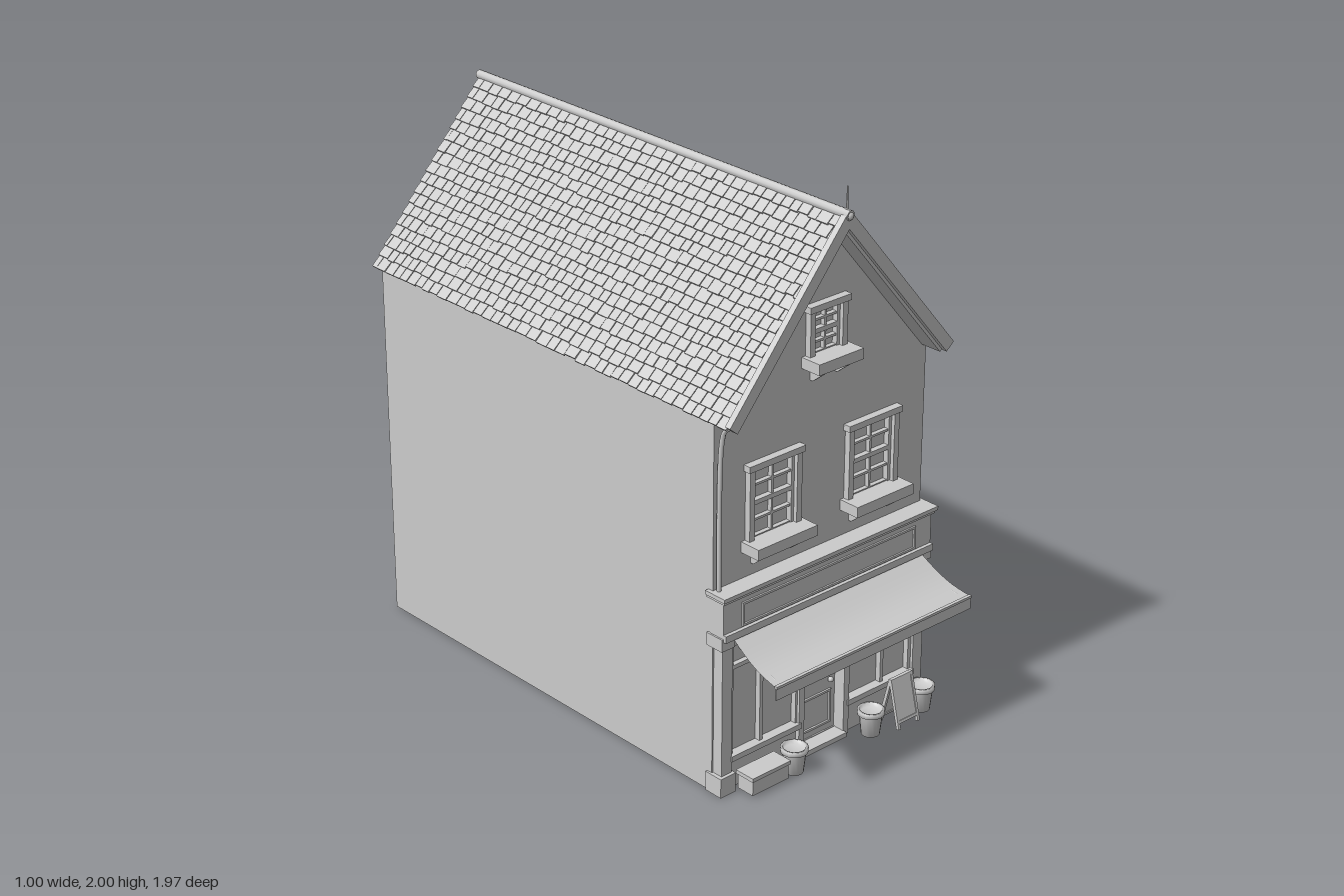
import * as THREE from 'three';
import { mergeGeometries } from 'three/addons/utils/BufferGeometryUtils.js';

const mat = new THREE.MeshStandardMaterial({ color: 0xcccccc, side: THREE.DoubleSide });
const SLOPE = 1.18, ANGLE = Math.atan(SLOPE);
const FRONT = 0.72, BACK = -0.955, ROOF_BACK = -0.975, ROOF_FRONT = 0.805;

let seed = 7;
const rnd = () => (seed = (seed * 16807) % 2147483647) / 2147483647;

function add(parent, name, geo, x = 0, y = 0, z = 0) {
  const m = new THREE.Mesh(geo, mat);
  m.name = name;
  m.position.set(x, y, z);
  parent.add(m);
  return m;
}

// Box given by its extents
function box(parent, name, x0, x1, y0, y1, z0, z1) {
  return add(parent, name, new THREE.BoxGeometry(x1 - x0, y1 - y0, z1 - z0), (x0 + x1) / 2, (y0 + y1) / 2, (z0 + z1) / 2);
}

function group(parent, name, x = 0, y = 0, z = 0) {
  const g = new THREE.Group();
  g.name = name;
  g.position.set(x, y, z);
  parent.add(g);
  return g;
}

const poly = (pts) => new THREE.Shape(pts.map(([x, y]) => new THREE.Vector2(x, y)));
const rectHole = (x0, x1, y0, y1) => new THREE.Path([[x0, y0], [x1, y0], [x1, y1], [x0, y1]].map(([x, y]) => new THREE.Vector2(x, y)));

function extrude(parent, name, shape, z0, z1) {
  return add(parent, name, new THREE.ExtrudeGeometry(shape, { depth: z1 - z0, bevelEnabled: false }), 0, 0, z0);
}

// Inverted V following the roof pitch, ends cut square to the slope
function chevron(parent, name, top, half, thick, z0, z1) {
  const ex = half - thick * Math.sin(ANGLE), ey = top - SLOPE * half - thick * Math.cos(ANGLE);
  const apex = top - thick / Math.cos(ANGLE);
  extrude(parent, name, poly([[0, top], [-half, top - SLOPE * half], [-ex, ey], [0, apex], [ex, ey], [half, top - SLOPE * half]]), z0, z1);
}

// Row of overlapping slates on each side, with uneven widths
function slates(parent) {
  const length = 0.485 / Math.cos(ANGLE), rows = 18, step = length / rows;
  for (const s of [-1, 1]) {
    const parts = [];
    for (let r = 0; r < rows; r++) {
      let z = ROOF_BACK - (r % 2) * 0.02;
      while (z < ROOF_FRONT - 0.012) {
        const w = 0.035 + rnd() * 0.02;
        const a = Math.max(z, ROOF_BACK), b = Math.min(z + w, ROOF_FRONT);
        z += w;
        if (b - a < 0.008) continue;
        const g = new THREE.BoxGeometry(step * 1.2, 0.008, b - a - 0.003);
        g.rotateZ(s * (0.13 + rnd() * 0.05));
        g.translate(s * ((r + 0.45) * step + (rnd() - 0.5) * 0.006), 0.006 + rnd() * 0.002, (a + b) / 2);
        g.rotateZ(-s * ANGLE);
        parts.push(g);
      }
    }
    add(parent, s > 0 ? 'leftSlates' : 'rightSlates', mergeGeometries(parts), 0, 1.898, 0);
  }
}

// Framed sash window with sill and brackets, origin at the middle of the opening
function sashWindow(parent, name, x, y, w, h, rows) {
  const g = group(parent, name, x, y, FRONT), a = w / 2, b = h / 2, c = 0.022;
  box(g, 'pane', -a, a, -b, b, -0.018, -0.012);
  for (const s of [-1, 1]) {
    box(g, 'casing', s * (a + c / 2) - c / 2, s * (a + c / 2) + c / 2, -b, b + c, -0.01, 0.022);
    box(g, 'sash', s * (a - 0.006) - 0.006, s * (a - 0.006) + 0.006, -b, b, -0.012, 0.008);
    const br = extrude(g, 'sillBracket', poly([[0, 0], [0.065, 0], [0.065, -0.012], [0.012, -0.055], [0, -0.055]]), -0.005, 0.005);
    br.rotation.y = -Math.PI / 2;
    br.position.set(s * a * 0.9 + 0.005, -b - 0.035, 0);
  }
  box(g, 'headCasing', -a - c - 0.008, a + c + 0.008, b, b + c, -0.01, 0.028);
  box(g, 'glazingBar', -0.004, 0.004, -b, b, -0.012, 0.004);
  for (let i = 0; i <= rows; i++) {
    const yy = -b + (h * i) / rows, t = i * 2 === rows ? 0.008 : 0.004;
    box(g, 'glazingBar', -a, a, yy - t, yy + t, -0.012, t === 0.008 ? 0.008 : 0.004);
  }
  box(g, 'sill', -a - c - 0.016, a + c + 0.016, -b - 0.038, -b, 0, 0.08);
}

function pot(parent, x, z) {
  const pts = [[0, 0], [0.032, 0], [0.04, 0.075], [0.047, 0.077], [0.047, 0.094], [0.038, 0.094], [0.036, 0.08], [0, 0.08]];
  add(parent, 'flowerPot', new THREE.LatheGeometry(pts.map(([a, b]) => new THREE.Vector2(a, b)), 16), x, 0, z);
}

export function createModel() {
  const house = new THREE.Group();
  house.name = 'shopHouse';

  // Walls: hollow shell, open underneath at the back
  const walls = group(house, 'walls');
  for (const s of [-1, 1]) box(walls, 'sideWall', s * 0.46 - 0.01, s * 0.46 + 0.01, 0, 1.325, BACK, FRONT);
  const gable = () => poly([[-0.47, 0], [0.47, 0], [0.47, 1.32], [0, 1.875], [-0.47, 1.32]]);
  extrude(walls, 'backWall', gable(), BACK, BACK + 0.02);
  const frontShape = gable();
  frontShape.holes.push(rectHole(-0.42, 0.42, 0.02, 0.56), rectHole(-0.06, 0.06, 1.43, 1.58));
  for (const s of [-1, 1]) frontShape.holes.push(rectHole(s * 0.22 - 0.092, s * 0.22 + 0.092, 0.87, 1.115));
  extrude(walls, 'frontWall', frontShape, FRONT - 0.02, FRONT);
  box(walls, 'partitionWall', -0.45, 0.45, 0, 1.3, -0.22, -0.2);

  // Plank floor under the shop
  const floor = group(house, 'floor');
  for (let i = 0; i < 18; i++) box(floor, 'plank', -0.45 + i * 0.05, -0.402 + i * 0.05, 0.002, 0.015, -0.2, FRONT - 0.02);
  box(floor, 'subfloor', -0.45, 0.45, 0.008, 0.02, -0.2, FRONT - 0.02);

  // Roof
  const roof = group(house, 'roof');
  chevron(roof, 'roofDeck', 1.9, 0.482, 0.014, ROOF_BACK, ROOF_FRONT);
  slates(roof);
  chevron(roof, 'bargeboard', 1.926, 0.495, 0.042, 0.795, 0.818);
  chevron(roof, 'innerBargeboard', 1.878, 0.468, 0.022, 0.72, 0.8);
  chevron(roof, 'rearVerge', 1.9, 0.482, 0.022, ROOF_BACK, ROOF_BACK + 0.02);
  const ridge = add(roof, 'ridgeCap', new THREE.CylinderGeometry(0.016, 0.016, 1.805, 10), 0, 1.908, -0.08);
  ridge.rotation.x = Math.PI / 2;
  add(roof, 'finial', new THREE.CylinderGeometry(0.002, 0.004, 0.09, 8), 0, 1.955, 0.805);
  add(roof, 'finialBall', new THREE.SphereGeometry(0.017, 12, 8), 0, 1.905, 0.812);

  // Upper windows
  for (const s of [-1, 1]) sashWindow(house, s > 0 ? 'leftWindow' : 'rightWindow', s * 0.22, 0.9925, 0.184, 0.245, 4);
  sashWindow(house, 'atticWindow', 0, 1.505, 0.12, 0.15, 4);

  // Drainpipe
  const path = new THREE.CatmullRomCurve3([[1.325, 0.785], [1.3, 0.755], [1.25, 0.742], [1.1, 0.735], [0.74, 0.735]].map(([y, z]) => new THREE.Vector3(-0.458, y, z)));
  add(house, 'drainpipe', new THREE.TubeGeometry(path, 24, 0.008, 8));

  // Shopfront
  const shop = group(house, 'shopfront');
  box(shop, 'fascia', -0.472, 0.472, 0.6, 0.715, 0.7, 0.772);
  box(shop, 'cornice', -0.478, 0.478, 0.712, 0.724, 0.7, 0.782);
  box(shop, 'corniceTop', -0.485, 0.485, 0.724, 0.738, 0.7, 0.79);
  box(shop, 'fasciaMoulding', -0.472, 0.472, 0.575, 0.6, 0.71, 0.785);
  for (const y of [0.605, 0.682]) box(shop, 'signFrame', -0.39, 0.39, y, y + 0.008, 0.77, 0.778);
  for (const s of [-1, 1]) {
    box(shop, 'signFrame', s * 0.39 - 0.004, s * 0.39 + 0.004, 0.605, 0.69, 0.77, 0.778);
    box(shop, 'pilaster', s * 0.442 - 0.022, s * 0.442 + 0.022, 0, 0.58, 0.7, 0.76);
    box(shop, 'pilasterBase', s * 0.445 - 0.033, s * 0.445 + 0.033, 0, 0.07, 0.7, 0.772);
    box(shop, 'pilasterCapital', s * 0.45 - 0.028, s * 0.45 + 0.028, 0.54, 0.585, 0.7, 0.772);
    // Display window
    const c = s * 0.265;
    box(shop, 'stallRiser', c - 0.155, c + 0.155, 0, 0.11, 0.705, 0.745);
    box(shop, 'displaySill', c - 0.158, c + 0.158, 0.11, 0.13, 0.705, 0.765);
    box(shop, 'displayGlass', c - 0.155, c + 0.155, 0.13, 0.54, 0.725, 0.73);
    for (const dx of [-0.148, 0.015, 0.148]) box(shop, 'mullion', c + s * dx - 0.007, c + s * dx + 0.007, 0.13, 0.54, 0.715, 0.75);
    box(shop, 'doorPost', s * 0.104 - 0.012, s * 0.104 + 0.012, 0, 0.54, 0.69, 0.76);
  }
  box(shop, 'transom', -0.42, 0.42, 0.44, 0.455, 0.715, 0.748);
  box(shop, 'lintel', -0.42, 0.42, 0.53, 0.58, 0.7, 0.755);

  // Door
  const door = group(shop, 'door');
  box(door, 'doorLeaf', -0.092, 0.092, 0.015, 0.44, 0.7, 0.715);
  box(door, 'doorLight', -0.092, 0.092, 0.44, 0.54, 0.705, 0.71);
  box(door, 'doorstep', -0.095, 0.095, 0, 0.018, 0.7, 0.775);
  for (const [y0, y1] of [[0.05, 0.17], [0.24, 0.41]]) {
    for (const s of [-1, 1]) box(door, 'panelStile', s * 0.066 - 0.004, s * 0.066 + 0.004, y0, y1, 0.715, 0.722);
    for (const y of [y0, y1]) box(door, 'panelRail', -0.07, 0.07, y - 0.004, y + 0.004, 0.715, 0.722);
  }
  add(door, 'doorKnob', new THREE.SphereGeometry(0.01, 12, 8), 0.06, 0.215, 0.728);

  // Awning: sagging canvas widening to the front, with a hanging valance
  const awning = group(house, 'awning');
  const canvas = new THREE.PlaneGeometry(1, 1, 1, 8), p = canvas.attributes.position;
  for (let i = 0; i < p.count; i++) {
    const t = 0.5 - p.getY(i);
    p.setXYZ(i, p.getX(i) * 2 * (0.43 + 0.016 * t), 0.572 - 0.08 * t - 0.016 * Math.sin(Math.PI * t), 0.775 + 0.21 * t);
  }
  canvas.computeVertexNormals();
  add(awning, 'canvas', canvas);
  box(awning, 'valance', -0.446, 0.446, 0.446, 0.492, 0.983, 0.987);
  box(awning, 'frontRail', -0.446, 0.446, 0.487, 0.496, 0.978, 0.99);
  for (const s of [-1, 1]) {
    const arm = new THREE.LineCurve3(new THREE.Vector3(s * 0.4, 0.53, 0.77), new THREE.Vector3(s * 0.42, 0.488, 0.98));
    add(awning, 'arm', new THREE.TubeGeometry(arm, 1, 0.004, 6));
  }

  // Pavement items
  const street = group(house, 'pavementItems');
  for (const x of [-0.185, 0.172, 0.415]) pot(street, x, 0.81);
  const planter = group(street, 'planter', -0.32, 0, 0.805);
  box(planter, 'trough', -0.08, 0.08, 0.008, 0.07, -0.035, 0.035);
  box(planter, 'rim', -0.085, 0.085, 0.062, 0.076, -0.04, 0.04);
  const board = group(street, 'sandwichBoard', 0.3, 0, 0.82);
  for (const s of [-1, 1]) {
    const leaf = group(board, 'boardLeaf', 0, 0.178, 0);
    leaf.rotation.x = -s * 0.24;
    box(leaf, 'panel', -0.043, 0.043, -0.155, -0.006, -0.003, 0.003);
    for (const e of [-1, 1]) box(leaf, 'leg', e * 0.046 - 0.005, e * 0.046 + 0.005, -0.18, 0, -0.006, 0.006);
    for (const y of [-0.006, -0.155]) box(leaf, 'rail', -0.046, 0.046, y - 0.005, y + 0.005, -0.006, 0.006);
  }
  return house;
}
